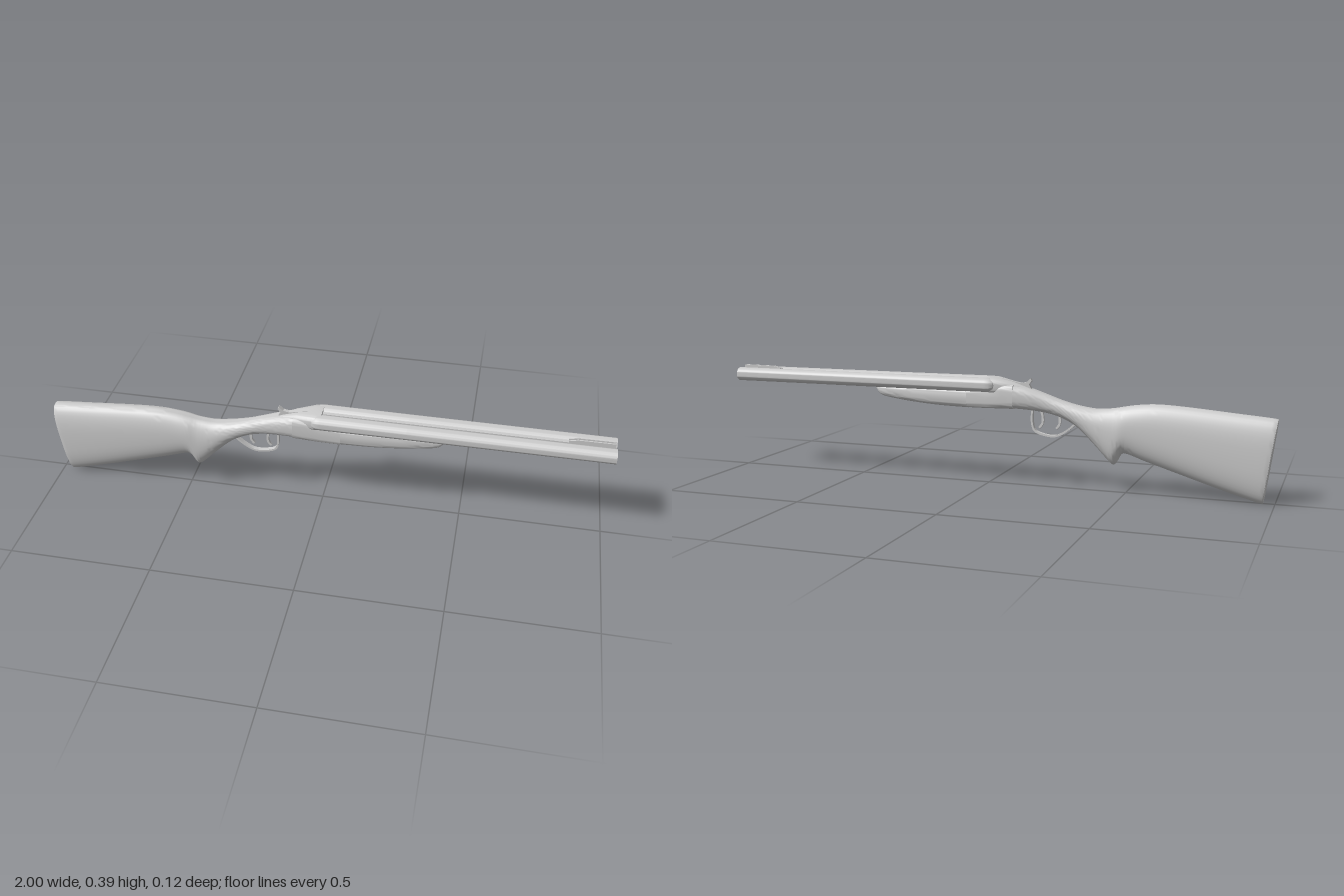
import * as THREE from 'three';
import { toCreasedNormals, mergeVertices } from 'three/addons/utils/BufferGeometryUtils.js';

const grey = new THREE.MeshStandardMaterial({ color: 0xcccccc, side: THREE.DoubleSide });

// Lofts rounded cross-sections along x.
// Each section: [xTop, yTop, xBottom, yBottom, halfWidth, squareness]
function loft(sections, steps, sides = 40, smooth = true) {
  const V = (a, b, c) => new THREE.Vector3(a, b, c);
  const top = new THREE.CatmullRomCurve3(sections.map(s => V(s[0], s[1], s[4])), false, 'catmullrom', 0.5);
  const low = new THREE.CatmullRomCurve3(sections.map(s => V(s[2], s[3], s[5])), false, 'catmullrom', 0.5);
  const count = smooth ? (sections.length - 1) * steps : sections.length - 1;
  const pos = [], index = [];
  for (let i = 0; i <= count; i++) {
    const a = top.getPoint(i / count), b = low.getPoint(i / count);
    for (let j = 0; j < sides; j++) {
      const ang = (j / sides) * Math.PI * 2;
      const pw = v => Math.sign(v) * Math.pow(Math.abs(v), 2 / b.z);
      const t = (1 - pw(Math.sin(ang))) / 2;
      pos.push(a.x + (b.x - a.x) * t, a.y + (b.y - a.y) * t, a.z * pw(Math.cos(ang)));
    }
  }
  for (let i = 0; i < count; i++) for (let j = 0; j < sides; j++) {
    const k = (j + 1) % sides, p = i * sides, q = p + sides;
    index.push(p + j, q + j, p + k, q + j, q + k, p + k);
  }
  // End caps
  for (const [row, flip] of [[0, false], [count, true]]) {
    const p = row * sides;
    for (let j = 1; j < sides - 1; j++) {
      index.push(p, p + (flip ? j + 1 : j), p + (flip ? j : j + 1));
    }
  }
  const g = new THREE.BufferGeometry();
  g.setAttribute('position', new THREE.Float32BufferAttribute(pos, 3));
  g.setIndex(index);
  return toCreasedNormals(mergeVertices(g), 0.6);
}

// Side outline in x/y, extruded symmetrically across z
function plate(points, width) {
  const shape = new THREE.Shape(points.map(p => new THREE.Vector2(p[0], p[1])));
  return new THREE.ExtrudeGeometry(shape, { depth: width, bevelEnabled: false }).translate(0, 0, -width / 2);
}

// Flat strap swept along an x/y path
function strap(points, thick, width) {
  const curve = new THREE.CatmullRomCurve3(points.map(p => new THREE.Vector3(p[0], p[1], 0)));
  const outer = [], inner = [];
  for (let i = 0; i <= 30; i++) {
    const p = curve.getPoint(i / 30), t = curve.getTangent(i / 30);
    outer.push([p.x - t.y * thick / 2, p.y + t.x * thick / 2]);
    inner.unshift([p.x + t.y * thick / 2, p.y - t.x * thick / 2]);
  }
  return toCreasedNormals(plate([...outer, ...inner], width), 0.6);
}

export function createModel() {
  const model = new THREE.Group();
  const add = (name, geometry) => {
    const mesh = new THREE.Mesh(geometry, grey);
    mesh.name = name;
    model.add(mesh);
    return mesh;
  };

  // Stock with slanted butt, pistol grip and slim wrist
  add('stock', loft([
    [-1.0, 0.283, -0.962, 0.004, 0.044, 2.7],
    [-0.985, 0.288, -0.945, 0.005, 0.047, 2.7],
    [-0.85, 0.299, -0.82, 0.04, 0.048, 2.6],
    [-0.7, 0.311, -0.68, 0.083, 0.048, 2.5],
    [-0.6, 0.315, -0.57, 0.117, 0.048, 2.4],
    [-0.53, 0.309, -0.505, 0.139, 0.048, 2.3],
    [-0.49, 0.302, -0.483, 0.136, 0.048, 2.3],
    [-0.46, 0.296, -0.46, 0.1, 0.047, 2.3],
    [-0.43, 0.292, -0.437, 0.114, 0.046, 2.3],
    [-0.39, 0.29, -0.39, 0.163, 0.044, 2.2],
    [-0.33, 0.298, -0.33, 0.22, 0.038, 2.2],
    [-0.27, 0.313, -0.27, 0.252, 0.032, 2.2],
    [-0.21, 0.333, -0.21, 0.267, 0.032, 2.4],
    [-0.15, 0.351, -0.15, 0.274, 0.039, 2.8],
    [-0.1, 0.362, -0.1, 0.277, 0.044, 3.2],
  ], 5));

  // Receiver body and the raised breech in front of the lever
  add('receiver', loft([
    [-0.1, 0.364, -0.1, 0.276, 0.046, 4],
    [-0.06, 0.364, -0.06, 0.276, 0.047, 4.5],
    [0, 0.352, 0, 0.275, 0.047, 5],
    [0.07, 0.345, 0.07, 0.275, 0.047, 5],
  ], 1, 40, false));
  add('breech', loft([
    [-0.15, 0.352, -0.15, 0.335, 0.016, 3],
    [-0.09, 0.372, -0.09, 0.325, 0.034, 3],
    [-0.03, 0.384, -0.03, 0.325, 0.05, 4],
    [0.0, 0.385, 0.0, 0.33, 0.052, 4],
  ], 1, 40, false));

  // Fore-end: wide at the barrels, bevelled below, swept up at the tip
  add('foreEnd', loft([
    [0.07, 0.345, 0.07, 0.273, 0.046, 3.6],
    [0.18, 0.345, 0.18, 0.276, 0.045, 3.6],
    [0.28, 0.345, 0.28, 0.283, 0.042, 3.4],
    [0.36, 0.345, 0.36, 0.292, 0.038, 3.2],
    [0.41, 0.343, 0.41, 0.302, 0.033, 3],
    [0.43, 0.342, 0.43, 0.322, 0.026, 2.6],
  ], 4));

  // Two barrels with rounded breech ends and hollow muzzles
  const profile = [[0, -0.037], [0.012, -0.036], [0.021, -0.029], [0.026, -0.015], [0.027, 0],
    [0.026, 0.3], [0.0255, 1], [0.0195, 1], [0.0195, 0.95], [0, 0.95]]
    .map(p => new THREE.Vector2(p[0], p[1]));
  for (const side of [1, -1]) {
    const g = toCreasedNormals(new THREE.LatheGeometry(profile, 40), 0.6);
    g.rotateZ(-Math.PI / 2).scale(1, 0.97, 1.07).translate(0, 0.358, side * 0.032);
    add(side > 0 ? 'leftBarrel' : 'rightBarrel', g);
  }

  // Ribs joining the barrels
  add('topRib', new THREE.BoxGeometry(1.0, 0.018, 0.014).translate(0.497, 0.367, 0));
  add('lowerRib', new THREE.BoxGeometry(1.0, 0.012, 0.026).translate(0.497, 0.346, 0));

  // Twin ridge sight near the muzzle
  for (const side of [1, -1]) {
    const ridge = plate([[0.84, 0.372], [0.995, 0.372], [0.995, 0.39], [0.87, 0.389], [0.84, 0.382]], 0.005);
    add('sightRidge', ridge.translate(0, 0, side * 0.006));
  }

  // Opening lever on the tang
  add('topLever', plate([[-0.16, 0.345], [-0.1, 0.36], [-0.05, 0.372], [-0.05, 0.381], [-0.12, 0.367],
    [-0.14, 0.371], [-0.155, 0.385], [-0.16, 0.376], [-0.15, 0.364]], 0.014));

  // Trigger guard and two curved triggers
  add('triggerGuard', strap([[-0.318, 0.232], [-0.29, 0.208], [-0.25, 0.186], [-0.21, 0.187],
    [-0.172, 0.201], [-0.162, 0.228], [-0.162, 0.275]], 0.007, 0.016));
  for (const x of [-0.262, -0.2]) {
    add('trigger', strap([[x + 0.006, 0.275], [x, 0.25], [x + 0.001, 0.228], [x + 0.012, 0.212]], 0.008, 0.009));
  }

  return model;
}
